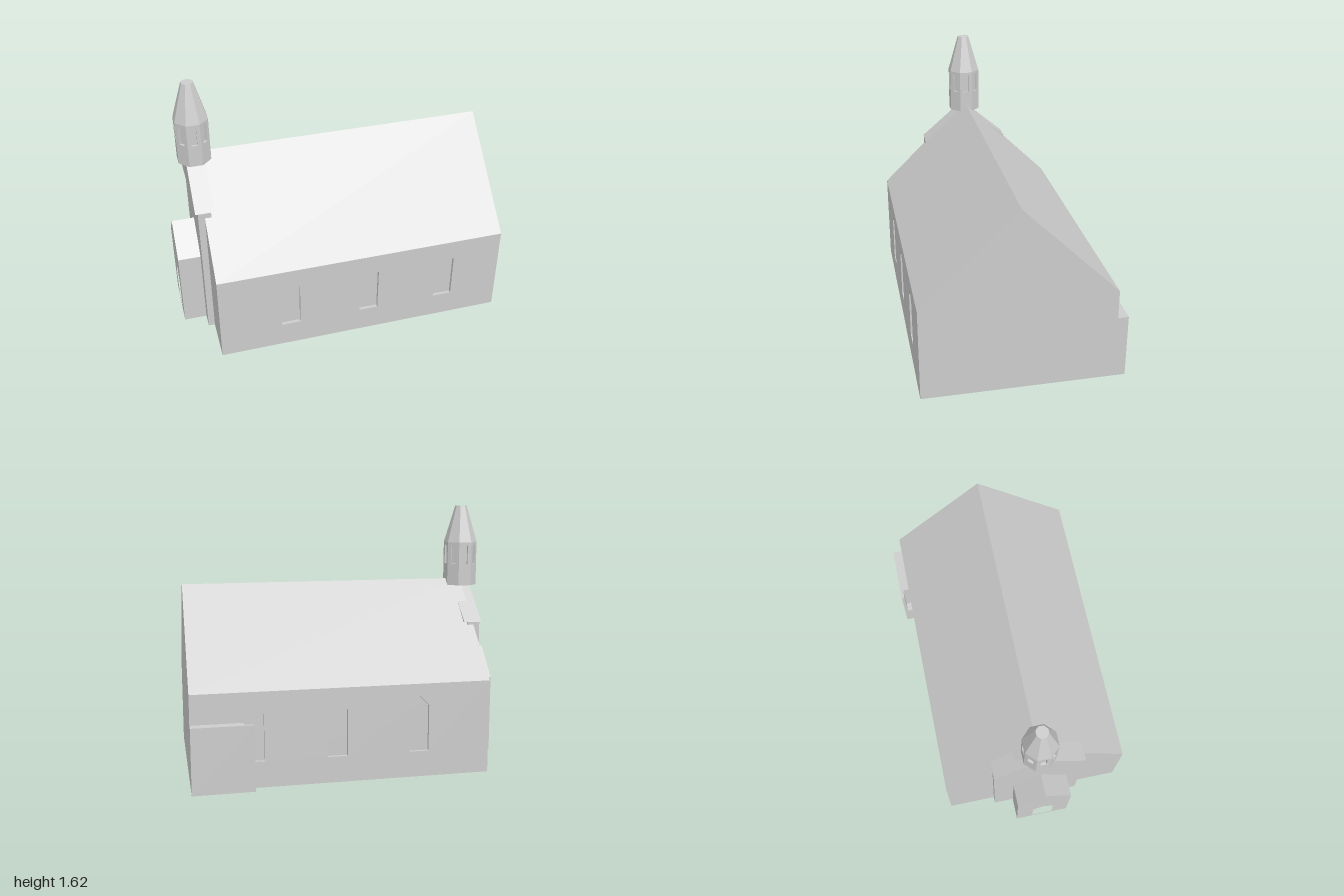
import * as THREE from 'three';

const stone = new THREE.MeshStandardMaterial({ color: 0xcccccc, flatShading: true });
stone.name = 'pale stone';

export function createModel() {
  const model = new THREE.Group();
  model.name = 'chapel';

  const add = (name, geometry, parent = model) => {
    const mesh = new THREE.Mesh(geometry, stone);
    mesh.name = name;
    parent.add(mesh);
    return mesh;
  };
  const box = (name, x0, x1, y0, y1, z0, z1) =>
    add(name, new THREE.BoxGeometry(x1 - x0, y1 - y0, z1 - z0)
      .translate((x0 + x1) / 2, (y0 + y1) / 2, (z0 + z1) / 2));
  const outline = (points) => points.map(([x, y]) => new THREE.Vector2(x, y));
  const extrude = (points, holes, depth) => {
    const shape = new THREE.Shape(outline(points));
    holes.forEach((h) => shape.holes.push(new THREE.Path(outline(h))));
    return new THREE.ExtrudeGeometry(shape, { depth, bevelEnabled: false });
  };
  // Cross-section given as [z, y], swept along x
  const sweepX = (name, points, x0, x1, holes = []) => {
    const flip = (list) => list.map(([z, y]) => [-z, y]);
    return add(name, extrude(flip(points), holes.map(flip), x1 - x0)
      .rotateY(Math.PI / 2).translate(x0, 0, 0));
  };
  // Opening with a pointed head
  const pointed = (c, half, y0, shoulder, apex) =>
    [[c - half, y0], [c + half, y0], [c + half, shoulder], [c, apex], [c - half, shoulder]];

  // Nave: gabled core with side walls pierced by shallow window recesses
  const recess = 0.02;
  sweepX('nave', [[-0.55 + recess, 0], [0.61 - recess, 0], [0.61 - recess, 0.58], [0.61, 0.58],
    [0.03, 1.15], [-0.55, 0.58], [-0.55 + recess, 0.58]], -0.82, 1);
  const windows = [-0.375, 0.13, 0.63].map((x) => pointed(x, 0.06, 0.16, 0.445, 0.505));
  const wall = [[-0.82, 0], [1, 0], [1, 0.58], [-0.82, 0.58]];
  add('frontWall', extrude(wall, windows, recess)).position.z = 0.61 - recess;
  add('backWall', extrude(wall, windows, recess)).position.z = -0.55;

  // Low annex at the back, notched where it meets the last window
  box('annexOuter', 0.63, 1, 0, 0.4, -0.615, -0.595);
  box('annexInner', 0.69, 1, 0, 0.4, -0.595, -0.55);
  box('annexSill', 0.63, 0.69, 0, 0.16, -0.595, -0.55);

  // Gable buttress and its coping under the steeple
  box('buttress', -0.86, -0.78, 0, 0.895, -0.247, 0.325);
  sweepX('coping', [[-0.247, 0.895], [0.325, 0.895], [0.039, 1.14]], -0.875, -0.76);

  // Porch with a recessed pointed doorway
  const porch = [[-0.12, 0], [0.23, 0], [0.23, 0.5], [0.055, 0.68], [-0.12, 0.5]];
  sweepX('porch', porch, -0.955, -0.84);
  sweepX('porchFront', porch, -1, -0.955, [pointed(0.055, 0.068, 0.025, 0.24, 0.305)]);

  // Eight-sided steeple with a recessed opening on each face
  const steeple = new THREE.Group();
  steeple.name = 'steeple';
  steeple.position.set(-0.82, 0, 0.033);
  model.add(steeple);
  const octagon = (top, bottom, y0, y1) => {
    const k = 1 / Math.cos(Math.PI / 8);
    return new THREE.CylinderGeometry(top * k, bottom * k, y1 - y0, 8, 1, false, Math.PI / 8)
      .translate(0, (y0 + y1) / 2, 0);
  };
  const apothem = 0.099, depth = 0.015;
  const half = apothem * Math.tan(Math.PI / 8);
  add('belfryCore', octagon(apothem - depth, apothem - depth, 1.11, 1.39), steeple);
  add('spire', octagon(0.035, apothem, 1.39, 1.625), steeple);
  for (let i = 0; i < 8; i++) {
    const panel = extrude([[-half, 1.11], [half, 1.11], [half, 1.39], [-half, 1.39]],
      [[[-0.018, 1.25], [0.018, 1.25], [0.018, 1.37], [-0.018, 1.37]]], depth);
    // Mitre the inner edges so neighbouring panels meet cleanly
    const p = panel.attributes.position;
    for (let v = 0; v < p.count; v++) {
      if (p.getZ(v) < depth / 2 && Math.abs(p.getX(v)) > 0.03) {
        p.setX(v, p.getX(v) * (apothem - depth) / apothem);
      }
    }
    panel.translate(0, 0, apothem - depth).rotateY(i * Math.PI / 4);
    add('belfryPanel', panel, steeple);
  }
  return model;
}
